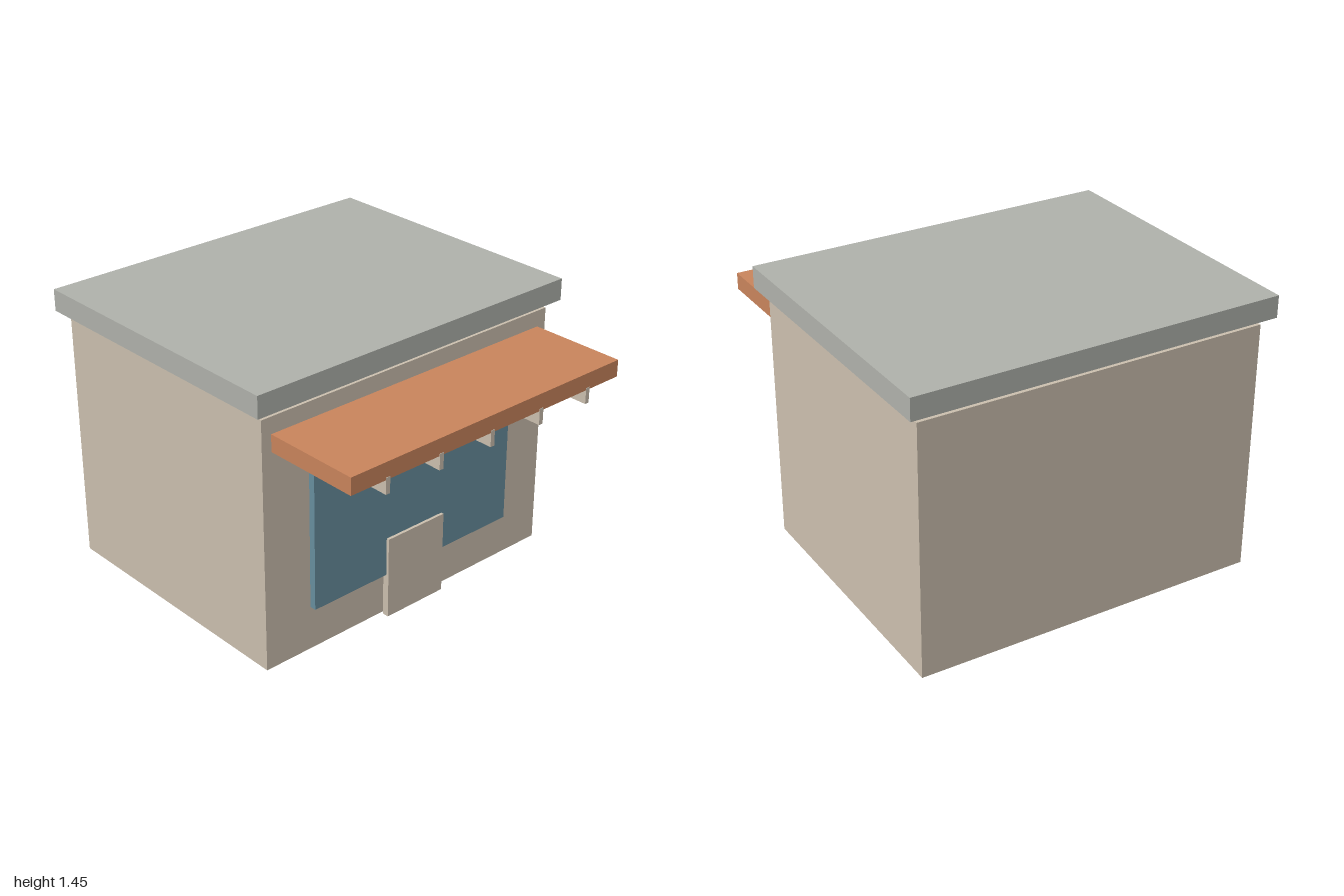
import * as THREE from 'three';

const material = (name, color) => {
  const m = new THREE.MeshStandardMaterial({ color });
  m.name = name;
  return m;
};

export function createModel() {
  const beige = material('beige plaster', 0xcabead);
  const grey = material('grey roofing', 0xaeb0aa);
  const orange = material('terracotta orange', 0xc7835b);
  const blue = material('blue glass', 0x678d9d);

  const group = new THREE.Group();
  group.name = 'smallShop';

  // Box given by its centre x, width and its y and z extents
  const box = (name, mat, x, width, [y0, y1], [z0, z1]) => {
    const mesh = new THREE.Mesh(new THREE.BoxGeometry(width, y1 - y0, z1 - z0), mat);
    mesh.name = name;
    mesh.position.set(x, (y0 + y1) / 2, (z0 + z1) / 2);
    group.add(mesh);
  };

  // Building body and the flat roof slab hovering just above it
  box('walls', beige, 0, 1.8, [0, 1.3], [-0.954, 0.486]);
  box('roof', grey, 0, 1.908, [1.34, 1.452], [-1, 0.532]);

  // Shop front
  box('window', blue, 0, 1.266, [0.232, 1.013], [0.48, 0.52]);
  box('door', beige, 0, 0.364, [0, 0.435], [0.5, 0.535]);
  box('signBoard', orange, 0, 1.44, [1.026, 1.115], [0.516, 0.576]);

  // Awning with five supporting ribs below
  box('awning', orange, 0, 1.692, [1.128, 1.215], [0.48, 0.998]);
  for (let i = -2; i <= 2; i++) {
    box('awningRib', beige, i * 0.318, 0.024, [1.058, 1.14], [0.51, 1]);
  }
  return group;
}
